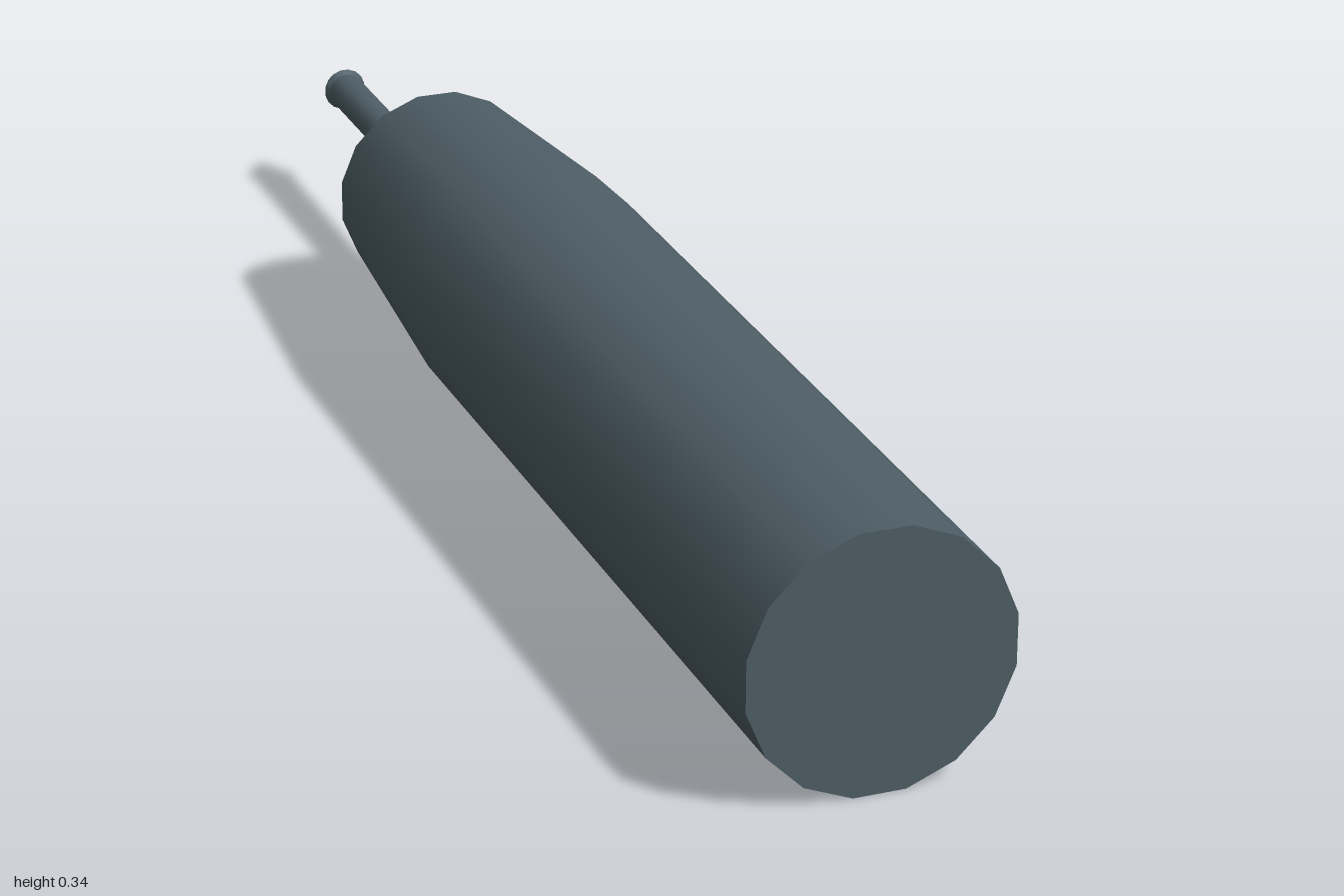
import * as THREE from 'three';

const SIDES = 16;
const APOTHEM = Math.cos(Math.PI / SIDES);
const AXIS_HEIGHT = 0.169;

export function createModel() {
  const group = new THREE.Group();
  group.name = 'tool';
  const slate = new THREE.MeshStandardMaterial({ color: 0x4e5e66 });
  slate.name = 'slate grey';

  // Turned part along -z; each profile entry is [radius across flats, z], front to back
  const addTurned = (name, profile) => {
    const points = profile.map(([r, z]) => new THREE.Vector2(r / APOTHEM, -z));
    const geometry = new THREE.LatheGeometry(points, SIDES, Math.PI / SIDES);
    geometry.rotateX(-Math.PI / 2);
    const mesh = new THREE.Mesh(geometry, slate);
    mesh.name = name;
    mesh.position.y = AXIS_HEIGHT;
    group.add(mesh);
  };

  // Handle: flat butt, straight grip that tapers, conical shoulder
  addTurned('buttCap', [[0, 1], [0.169, 1]]);
  addTurned('grip', [[0.169, 1], [0.169, -0.17], [0.14, -0.54]]);
  addTurned('shoulder', [[0.14, -0.54], [0.025, -0.615]]);

  // Thin shaft with a small flared, pointed head
  addTurned('shaft', [[0.025, -0.615], [0.025, -0.948]]);
  addTurned('headCollar', [[0.024, -0.943], [0.03, -0.952]]);
  addTurned('headCone', [[0.03, -0.952], [0.009, -0.994]]);
  addTurned('headTip', [[0.009, -0.994], [0, -1]]);

  return group;
}
